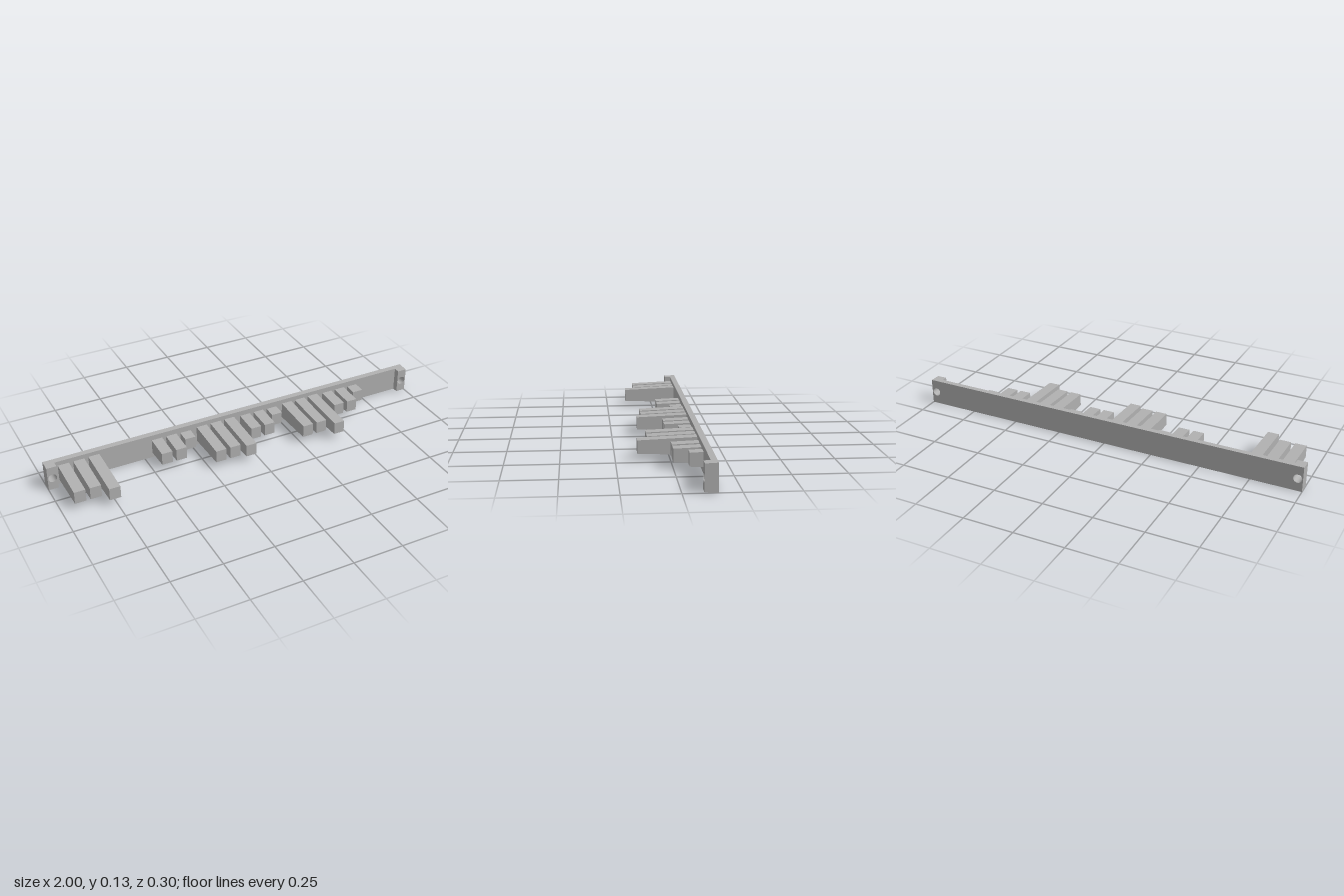
import * as THREE from 'three';

const MID = 0.0635;      // centre line height
const DRAFT = 0.041;     // slope of top and bottom faces
const BACK = -0.15, FACE = -0.122, END = -0.092;
const HOLE_X = 0.975, HOLE_R = 0.021;

const grey = new THREE.MeshStandardMaterial({ color: 0xb0b0b0 });
grey.name = 'grey';

// Slab between two depths, with screw holes, narrowing in height toward the front
function slab(name, x0, x1, z0, z1, holes) {
  const s = new THREE.Shape();
  s.moveTo(x0, -MID).lineTo(x1, -MID).lineTo(x1, MID).lineTo(x0, MID).closePath();
  for (const x of holes) {
    const hole = new THREE.Path();
    hole.absarc(x, 0, HOLE_R, 0, Math.PI * 2, true);
    s.holes.push(hole);
  }
  const geo = new THREE.ExtrudeGeometry(s, { depth: z1 - z0, bevelEnabled: false, curveSegments: 24 });
  geo.translate(0, 0, z0);
  const p = geo.attributes.position;
  for (let i = 0; i < p.count; i++) {
    const y = p.getY(i);
    if (Math.abs(y) > 0.05) p.setY(i, y - Math.sign(y) * DRAFT * (p.getZ(i) - BACK));
  }
  geo.translate(0, MID, 0);
  geo.computeVertexNormals();
  const mesh = new THREE.Mesh(geo, grey);
  mesh.name = name;
  return mesh;
}

// Tooth whose tip has a fixed height and whose root is taller the longer it is
function tooth(x, tip) {
  const length = tip - FACE, h = 0.031;
  const geo = new THREE.BoxGeometry(0.055, 2 * h, length).toNonIndexed();
  geo.translate(0, 0, FACE + length / 2);
  const p = geo.attributes.position;
  for (let i = 0; i < p.count; i++) {
    const y = p.getY(i);
    p.setY(i, MID + y + Math.sign(y) * DRAFT * (tip - p.getZ(i)));
  }
  geo.computeVertexNormals();
  const mesh = new THREE.Mesh(geo, grey);
  mesh.name = 'tooth';
  mesh.position.x = x;
  return mesh;
}

export function createModel() {
  const model = new THREE.Group();
  model.name = 'toothedBar';

  // Backing bar and the raised mounting pads at its ends
  model.add(slab('backBar', -1, 1, BACK, FACE, [-HOLE_X, HOLE_X]));
  model.add(slab('rightMountingPad', -1, -0.951, FACE, END, [-HOLE_X]));
  model.add(slab('leftMountingPad', 0.951, 1, FACE, END, [HOLE_X]));

  // Groups of three teeth: first centre, then the depth of each tip
  const groups = [
    [-0.909, [0.102, 0.102, 0.15]],
    [-0.433, [0.002, 0.002, -0.062]],
    [-0.193, [0.102, 0.102, 0.124]],
    [0.048, [0.002, 0.002, -0.062]],
    [0.288, [0.102, 0.102, 0.15]],
    [0.528, [0.002, 0.002, -0.062]],
  ];
  for (const [x, tips] of groups) {
    const set = new THREE.Group();
    set.name = 'toothGroup';
    tips.forEach((tip, i) => set.add(tooth(x + i * 0.0758, tip)));
    model.add(set);
  }
  return model;
}
